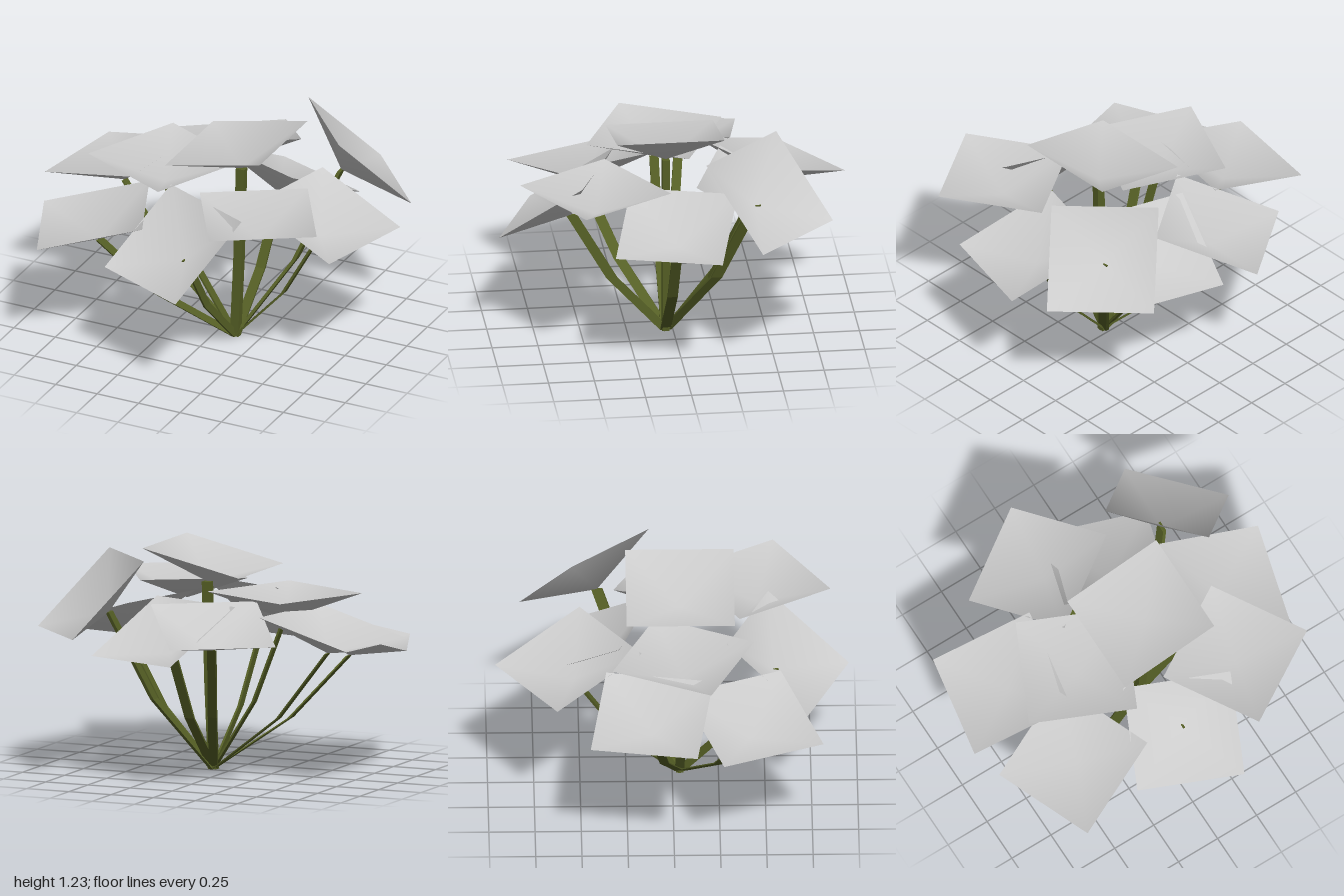
import * as THREE from 'three';

const V = (p) => new THREE.Vector3(...p);
const BASE = new THREE.Vector3(0.11, 0, 0.04);
const DEPTH = 0.146; // how far the middle of a leaf is sunk below its rim

// Each leaf: three corners of a square (outer edge, then an inner corner),
// and the width in x and z of its stem, if it has one.
const LEAVES = [
  { name: 'topLeaf', corners: [[-0.17, 1.10, -0.25], [-0.17, 1.10, 0.335], [0.40, 1.23, 0.335]], stem: [0.05, 0.04] },
  { name: 'backLeaf', corners: [[-0.08, 0.805, -0.96], [-0.56, 0.805, -0.63], [-0.24, 0.97, -0.17]], stem: [0.05, 0.015] },
  { name: 'lowBackLeaf', corners: [[0.55, 0.68, -0.59], [0, 0.68, -0.78], [-0.166, 0.95, -0.288]], stem: [0.055, 0.015] },
  { name: 'steepBackLeaf', corners: [[0.955, 0.79, -0.395], [0.56, 0.80, -0.82], [0.26, 1.21, -0.545]], stem: [0.02, 0.06] },
  { name: 'leftLeaf', corners: [[0.85, 0.76, 0.395], [1.0, 0.76, -0.17], [0.46, 0.935, -0.314]], stem: [0.015, 0.055] },
  { name: 'frontLeftLeaf', corners: [[0.355, 1.0, 0.86], [0.855, 1.0, 0.555], [0.555, 1.0, 0.06]] },
  { name: 'frontLeaf', corners: [[-0.34, 0.625, 0.727], [0.2, 0.625, 0.957], [0.385, 0.97, 0.523]], stem: [0.012, 0.06] },
  { name: 'frontRightLeaf', corners: [[-0.933, 0.68, 0.267], [-0.71, 0.68, 0.807], [-0.185, 0.82, 0.583]], stem: [0.012, 0.06] },
  { name: 'rightLeaf', corners: [[-0.9, 0.775, -0.455], [-1.0, 0.775, 0.123], [-0.44, 0.915, 0.215]], stem: [0.012, 0.05] },
  { name: 'innerRightLeaf', corners: [[-0.45, 0.99, -0.33], [-0.7, 0.99, 0.2], [-0.16, 0.99, 0.44]], stem: [0.012, 0.05] },
];

// Square leaf whose middle is pulled down along its normal
function leafGeometry([p, q, r]) {
  const s = p.clone().add(r).sub(q);
  const normal = q.clone().sub(p).cross(r.clone().sub(q)).normalize();
  const apex = p.clone().lerp(r, 0.5).addScaledVector(normal, -DEPTH);
  const geo = new THREE.BufferGeometry().setFromPoints([p, q, r, s, apex]);
  geo.setIndex([0, 1, 4, 1, 2, 4, 2, 3, 4, 3, 0, 4]);
  geo.computeVertexNormals();
  return { geo, apex };
}

// Flat strip from the base to the leaf, bending once on the way
function stemGeometry(top, [w, d]) {
  const bend = BASE.clone().lerp(top, 0.57).setY(top.y * 0.45);
  const path = [BASE, bend, top];
  const geo = new THREE.BoxGeometry(w, 1, d, 1, 2, 1);
  const pos = geo.attributes.position;
  for (let i = 0; i < pos.count; i++) {
    const c = path[Math.round((pos.getY(i) + 0.5) * 2)];
    pos.setXYZ(i, pos.getX(i) + c.x, c.y, pos.getZ(i) + c.z);
  }
  const flat = geo.toNonIndexed();
  flat.computeVertexNormals();
  return flat;
}

export function createModel() {
  const plant = new THREE.Group();
  plant.name = 'plant';
  const leafMaterial = new THREE.MeshStandardMaterial({ color: 0xcccccc, side: THREE.DoubleSide });
  const stemMaterial = new THREE.MeshStandardMaterial({ color: 0x555f25 });

  for (const { name, corners, stem } of LEAVES) {
    const { geo, apex } = leafGeometry(corners.map(V));
    const leaf = new THREE.Mesh(geo, leafMaterial);
    leaf.name = name;
    plant.add(leaf);
    if (stem) {
      const stalk = new THREE.Mesh(stemGeometry(apex, stem), stemMaterial);
      stalk.name = name + 'Stem';
      plant.add(stalk);
    }
  }
  return plant;
}
